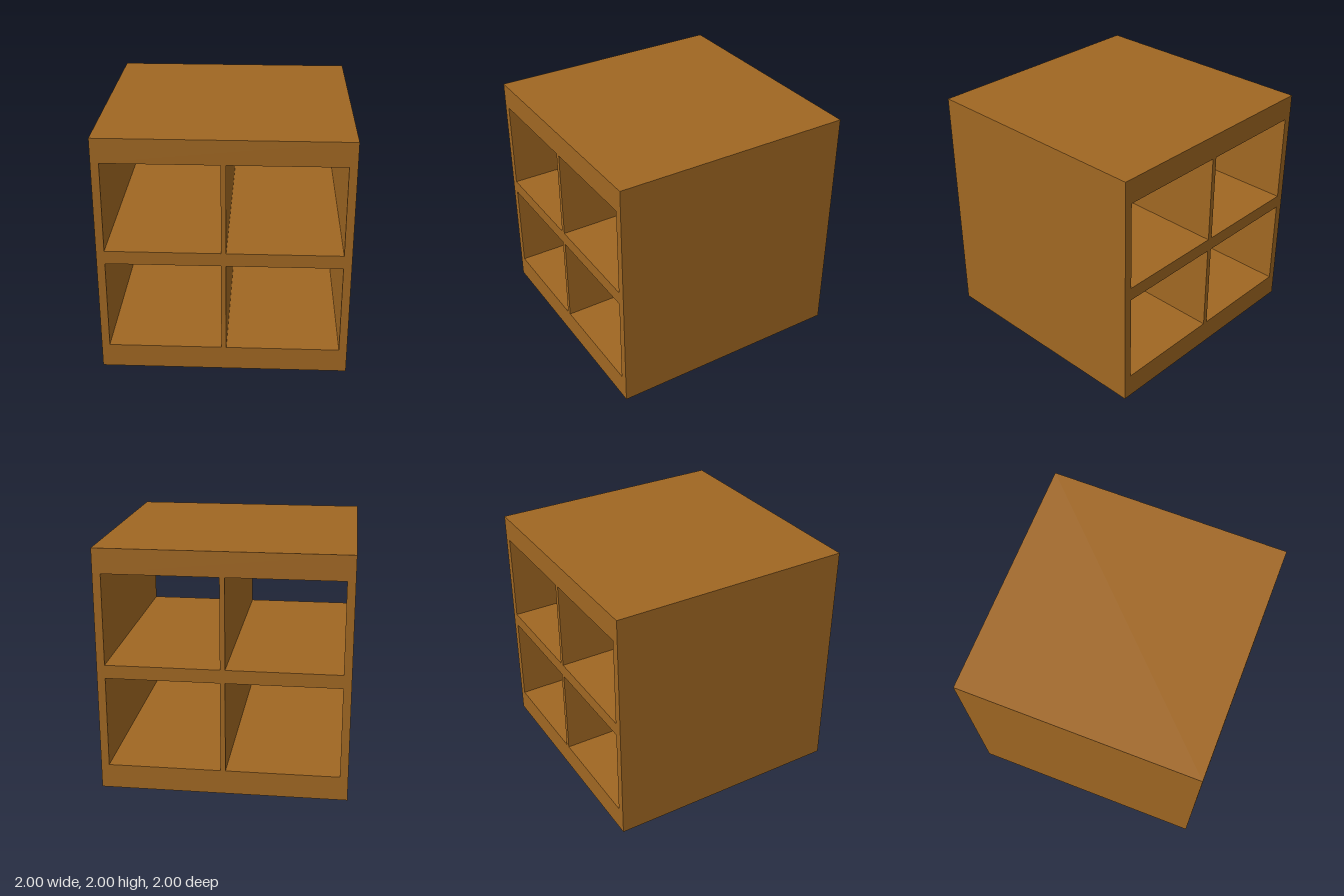
import * as THREE from 'three';

export function createModel() {
  const group = new THREE.Group();
  const wood = new THREE.MeshStandardMaterial({ color: 0xa06722 });
  wood.name = 'brown wood';

  // Adds a board running the full depth, given its x and y limits
  const board = (name, x0, x1, y0, y1, depth = 2) => {
    const mesh = new THREE.Mesh(new THREE.BoxGeometry(x1 - x0, y1 - y0, depth), wood);
    mesh.name = name;
    mesh.position.set((x0 + x1) / 2, (y0 + y1) / 2, 0);
    group.add(mesh);
  };

  // Outer case
  board('bottomPanel', -1, 1, 0, 0.2);
  board('topPanel', -1, 1, 1.8, 2);
  board('rightPanel', -1, -0.935, 0.2, 1.8);
  board('leftPanel', 0.935, 1, 0.2, 1.8);

  // Shelf and the two dividers that make four open compartments
  board('shelf', -0.935, 0.935, 0.95, 1.06);
  board('lowerDivider', -0.02, 0.02, 0.2, 0.95);
  board('upperDivider', -0.02, 0.02, 1.06, 1.8);

  return group;
}
